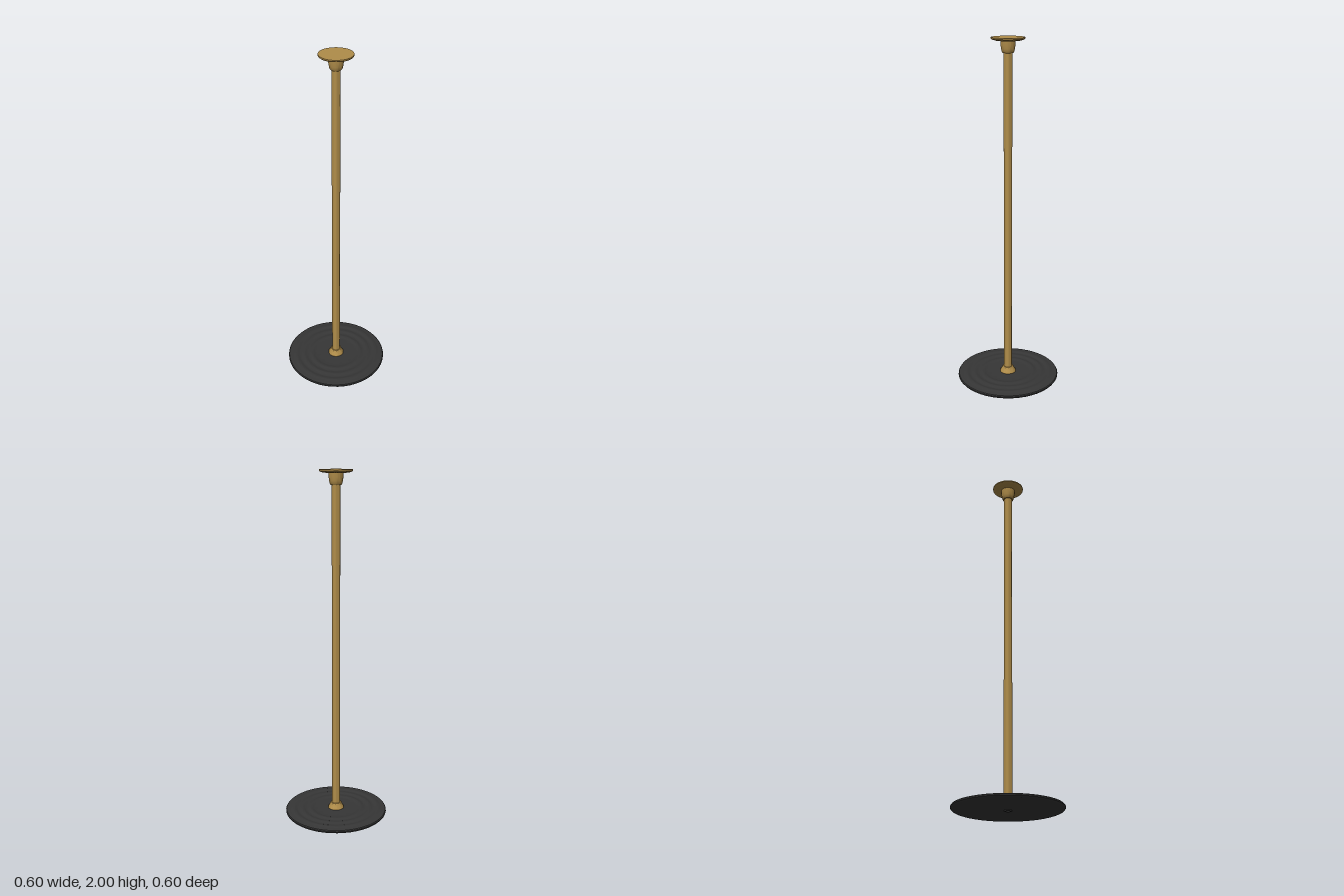
import * as THREE from 'three';
import { toCreasedNormals } from 'three/addons/utils/BufferGeometryUtils.js';

const brass = new THREE.MeshStandardMaterial({ color: 0xb08d4a });
brass.name = 'brass';
const black = new THREE.MeshStandardMaterial({ color: 0x363636 });
black.name = 'matte black';

// Revolve a profile of [radius, height] points, listed from bottom to top
function turned(name, profile, material, crease = 0.6, segments = 48) {
  const points = profile.map(([r, y]) => new THREE.Vector2(r, y));
  const geometry = toCreasedNormals(new THREE.LatheGeometry(points, segments), crease);
  const mesh = new THREE.Mesh(geometry, material);
  mesh.name = name;
  return mesh;
}

export function createModel() {
  const group = new THREE.Group();
  group.name = 'stand';

  // Weighted base: rounded rim, shallow concentric ripples on top
  const base = [[0, 0.006], [0.285, 0.006], [0.293, 0.009], [0.298, 0.015],
    [0.298, 0.021], [0.294, 0.026], [0.286, 0.028]];
  for (let i = 0; i <= 24; i++) {
    const r = 0.275 - i * 0.00625;
    base.push([r, 0.0305 + 0.0025 * Math.cos((r - 0.275) / 0.05 * Math.PI * 2 + Math.PI)]);
  }
  base.push([0.09, 0.029], [0, 0.029]);
  group.add(turned('base', base, black));

  // Fixing nut under the base, with an open centre
  group.add(turned('fixingNut', [[0.012, 0.008], [0.012, 0], [0.02, 0], [0.02, 0.008]], black));

  // Flared collar where the pole meets the base
  group.add(turned('baseCollar', [[0.046, 0.027], [0.046, 0.034], [0.042, 0.04],
    [0.035, 0.052], [0.033, 0.06], [0.029, 0.063], [0, 0.063]], brass));

  // Long straight pole
  group.add(turned('pole', [[0, 0.03], [0.0235, 0.03], [0.0235, 1.95], [0, 1.95]], brass));

  // Cup-shaped socket below the top plate
  group.add(turned('topSocket', [[0, 1.918], [0.029, 1.918], [0.034, 1.925], [0.037, 1.94],
    [0.04, 1.96], [0.041, 1.985], [0, 1.985]], brass));

  // Thin round top plate with a chamfered underside
  group.add(turned('topPlate', [[0, 1.983], [0.07, 1.983], [0.088, 1.989], [0.092, 1.993],
    [0.092, 2], [0, 2]], brass));

  return group;
}
